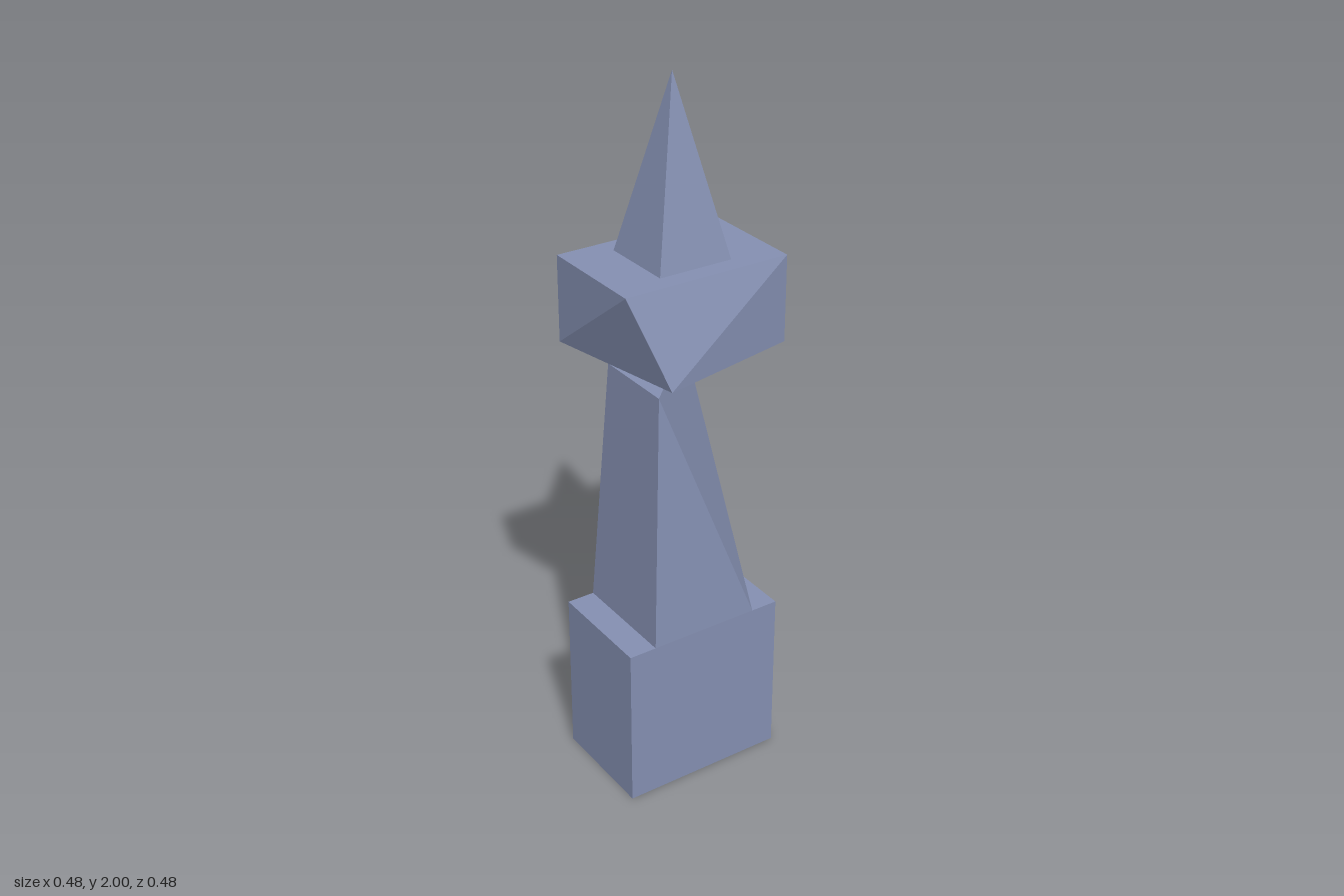
import * as THREE from 'three';
import { ConvexGeometry } from 'three/addons/geometries/ConvexGeometry.js';

export function createModel() {
  const model = new THREE.Group();
  const slate = new THREE.MeshStandardMaterial({ color: 0x8590b2 });
  slate.name = 'slate blue';

  const add = (name, geometry, y = 0) => {
    const mesh = new THREE.Mesh(geometry, slate);
    mesh.name = name;
    mesh.position.y = y;
    model.add(mesh);
    return mesh;
  };

  // Faceted solid between two outlines of [x, z] corners
  const solid = (bottom, y0, top, y1) => new ConvexGeometry([
    ...bottom.map(([x, z]) => new THREE.Vector3(x, y0, z)),
    ...top.map(([x, z]) => new THREE.Vector3(x, y1, z)),
  ]);
  const rect = (x, z) => [[x, z], [-x, z], [-x, -z], [x, -z]];

  // Oblong plinth
  add('base', new THREE.BoxGeometry(0.48, 0.48, 0.32), 0.24);

  // Tapering shaft, its front left top corner cut away down to the foot
  add('shaft', solid(rect(0.16, 0.16), 0.48, rect(0.12, 0.12).slice(1), 1.205));

  // Floating block: oblong top over a turned square underside
  const turnedSquare = [[0.24, 0.16], [-0.16, 0.24], [-0.24, -0.16], [0.16, -0.24]];
  add('gallery', solid(turnedSquare, 1.285, rect(0.24, 0.16), 1.525));

  // Four-sided spire
  const spire = new THREE.ConeGeometry(0.106 * Math.SQRT2, 0.475, 4).rotateY(Math.PI / 4).toNonIndexed();
  spire.computeVertexNormals();
  add('spire', spire, 1.7625);

  return model;
}
